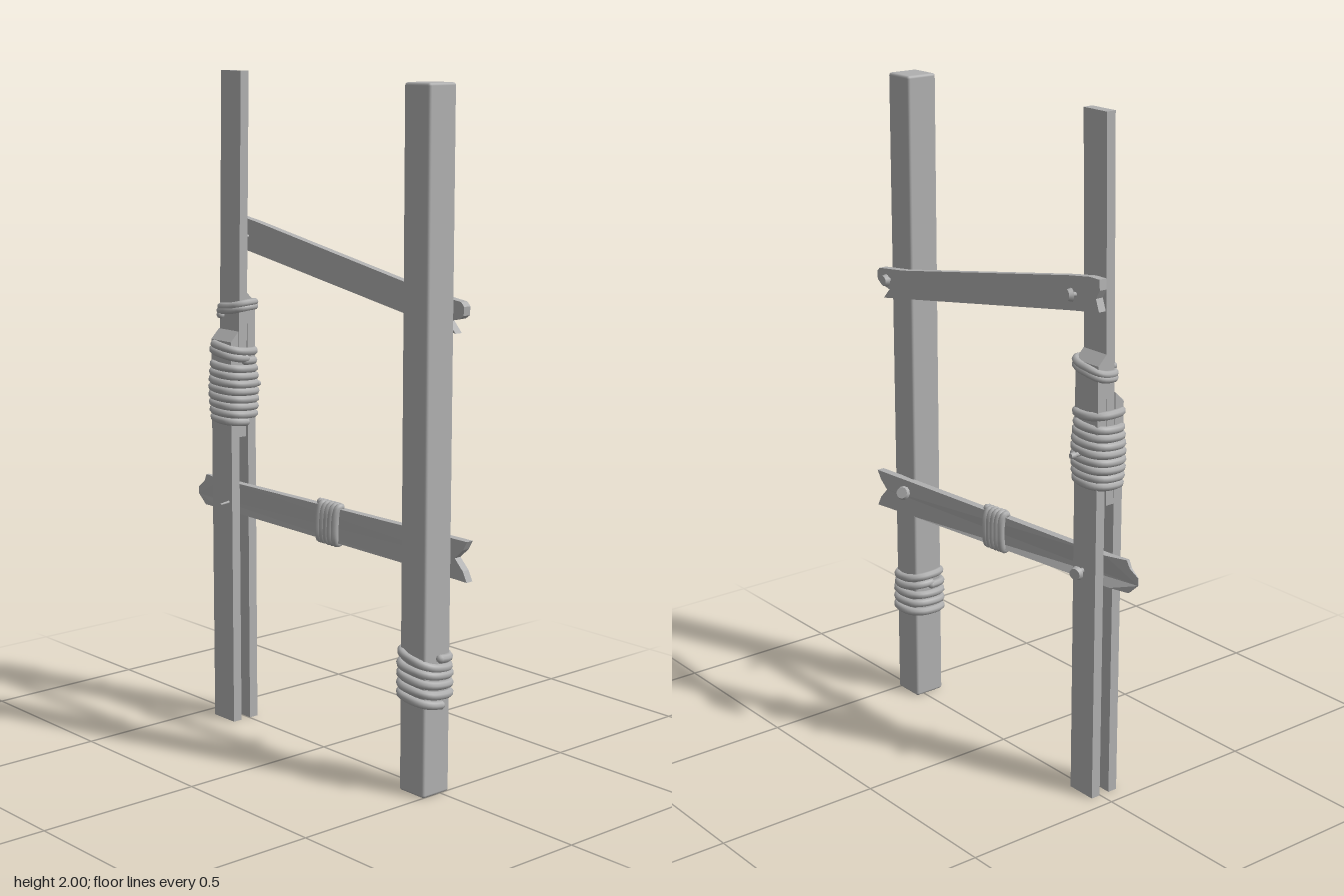
import * as THREE from 'three';
import { RoundedBoxGeometry } from 'three/addons/geometries/RoundedBoxGeometry.js';

const grey = new THREE.MeshStandardMaterial({ color: 0xb0b0b0 });
grey.name = 'weathered grey';

function mesh(name, geometry) {
  const m = new THREE.Mesh(geometry, grey);
  m.name = name;
  return m;
}

// Flat board: an outline in x/y, centred in z
function board(outline, depth) {
  const shape = new THREE.Shape(outline.map(([x, y]) => new THREE.Vector2(x, y)));
  return new THREE.ExtrudeGeometry(shape, { depth, bevelEnabled: false }).translate(0, 0, -depth / 2);
}

// Rope wound about the y axis from y0 to y1; power < 1 squares off the loop
function rope(name, { rx, rz, y0, y1, turns, tilt = 0, phase = 0, power = 1, belly = 0, r = 0.0125 }) {
  const points = [];
  const n = Math.ceil(turns * 20);
  const bend = (v) => Math.sign(v) * Math.abs(v) ** power;
  for (let i = 0; i <= n; i++) {
    const t = i / n, a = phase + t * turns * Math.PI * 2;
    const grow = 1 + belly * (Math.sin(t * Math.PI) - 1);
    points.push(new THREE.Vector3(
      rx * grow * bend(Math.cos(a)), y0 + (y1 - y0) * t + tilt * Math.cos(a + 0.5), rz * grow * bend(Math.sin(a))));
  }
  const g = new THREE.Group();
  g.name = name;
  g.add(mesh('ropeCoil', new THREE.TubeGeometry(new THREE.CatmullRomCurve3(points), n * 2, r, 8)));
  for (const p of [points[0], points[n]]) {
    const end = mesh('ropeEnd', new THREE.SphereGeometry(r, 8, 6));
    end.position.copy(p);
    g.add(end);
  }
  return g;
}

// Nail with its head at `head` and its tip at `tip`
function nail(name, head, tip, size = 0.019) {
  const a = new THREE.Vector3(...head), b = new THREE.Vector3(...tip);
  const length = a.distanceTo(b);
  const g = new THREE.Group();
  g.name = name;
  g.add(mesh('nailShaft', new THREE.CylinderGeometry(0.008, 0.003, length, 8).translate(0, -length / 2, 0)));
  g.add(mesh('nailHead', new THREE.CylinderGeometry(size * 0.8, size, 0.013, 12)));
  g.position.copy(a);
  g.quaternion.setFromUnitVectors(new THREE.Vector3(0, 1, 0), a.clone().sub(b).normalize());
  return g;
}

export function createModel() {
  const model = new THREE.Group();
  model.name = 'ladderSection';

  // Solid post
  const post = mesh('leftPost', new RoundedBoxGeometry(0.1, 1.985, 0.1, 2, 0.008));
  post.position.set(0.455, 0.9925, 0.02);
  model.add(post);

  // Split post: two lower planks with broken tops, and an upper plank held between them
  const plank = (name, z0, z1, topBack, topFront) => {
    const g = board([[-z1, 0], [-z0, 0], [-z0, topBack], [-z1, topFront]], 0.095);
    g.rotateY(Math.PI / 2);
    g.translate(-0.4025, 0, 0);
    model.add(mesh(name, g));
  };
  plank('frontPlank', 0.032, 0.062, 1.225, 1.195);
  plank('backPlank', -0.032, -0.002, 1.31, 1.34);
  const upper = mesh('upperPlank', new THREE.BoxGeometry(0.093, 1.1, 0.03));
  upper.position.set(-0.4025, 1.45, 0.01);
  upper.rotation.x = -0.018;
  model.add(upper);

  // Upper rail, behind both posts, with chipped ends
  const upperRail = mesh('upperRail', board([
    [-0.485, 1.475], [-0.36, 1.455], [0.4, 1.325], [0.5, 1.308], [0.47, 1.34], [0.515, 1.35],
    [0.53, 1.36], [0.532, 1.385], [0.52, 1.397], [0.4, 1.412], [-0.36, 1.552], [-0.445, 1.565],
    [-0.485, 1.565], [-0.487, 1.535], [-0.472, 1.51]], 0.024));
  upperRail.position.z = -0.052;
  model.add(upperRail);

  // Lower rail: forked at one end, splintered to a point at the other
  const lowerGeo = board([
    [-0.47, 0.66], [0.4, 0.628], [0.56, 0.62], [0.545, 0.65], [0.515, 0.682], [0.545, 0.71],
    [0.56, 0.736], [0.4, 0.739], [-0.45, 0.752], [-0.525, 0.757], [-0.535, 0.735],
    [-0.563, 0.712], [-0.563, 0.69], [-0.53, 0.66]], 0.024);
  const pos = lowerGeo.attributes.position;
  for (let i = 0; i < pos.count; i++) {
    const k = THREE.MathUtils.clamp((pos.getX(i) + 0.57) / 0.1, 0, 1);
    pos.setZ(i, pos.getZ(i) * k + 0.008 * (1 - k));
  }
  lowerGeo.computeVertexNormals();
  const lowerRail = new THREE.Group();
  lowerRail.name = 'lowerRail';
  lowerRail.add(mesh('lowerRailBoard', lowerGeo));
  lowerRail.position.z = -0.013;
  lowerRail.rotation.y = 0.062;
  model.add(lowerRail);

  // Binding around the middle of the lower rail
  const railRope = rope('railRope', { rx: 0.056, rz: 0.019, y0: -0.042, y1: 0.042, turns: 5, power: 0.7, r: 0.0115 });
  railRope.rotation.z = Math.PI / 2 - 0.03;
  railRope.position.set(0.013, 0.694, 0);
  lowerRail.add(railRope);

  // Bindings around the posts
  const bind = (x, z, name, options) => {
    const coil = rope(name, options);
    coil.position.set(x, 0, z);
    model.add(coil);
  };
  bind(-0.4, 0.016, 'splitPostRope', { rx: 0.064, rz: 0.06, y0: 0.948, y1: 1.135, turns: 8, power: 0.8, belly: 0.1 });
  bind(-0.4, 0.016, 'splitPostLooseLoop', { rx: 0.059, rz: 0.057, y0: 1.15, y1: 1.178, turns: 1.3, tilt: -0.008, power: 0.8 });
  bind(-0.4, 0, 'upperPlankLoop', { rx: 0.056, rz: 0.043, y0: 1.278, y1: 1.305, turns: 2, tilt: 0.012, phase: 2, power: 0.75, r: 0.011 });
  bind(0.455, 0.02, 'postRope', { rx: 0.065, rz: 0.063, y0: 0.275, y1: 0.375, turns: 3.5, tilt: -0.006, power: 0.8 });
  bind(0.455, 0.02, 'postLooseLoop', { rx: 0.062, rz: 0.061, y0: 0.375, y1: 0.415, turns: 1.5, tilt: -0.014, phase: Math.PI, power: 0.8 });

  // Nails driven in from the back
  model.add(
    nail('upperRailLeftNail', [0.47, 1.37, -0.081], [0.465, 1.37, 0.01]),
    nail('upperRailRightNail', [-0.383, 1.505, -0.081], [-0.41, 1.505, 0.005]),
    nail('lowerRailLeftNail', [0.387, 0.715, -0.088], [0.43, 0.68, -0.01], 0.022),
    nail('lowerRailRightNail', [-0.405, 0.7, -0.065], [-0.36, 0.7, 0.103], 0.021),
    nail('bindingNail', [-0.395, 1.05, -0.074], [-0.4, 1.05, 0], 0.01));
  return model;
}
